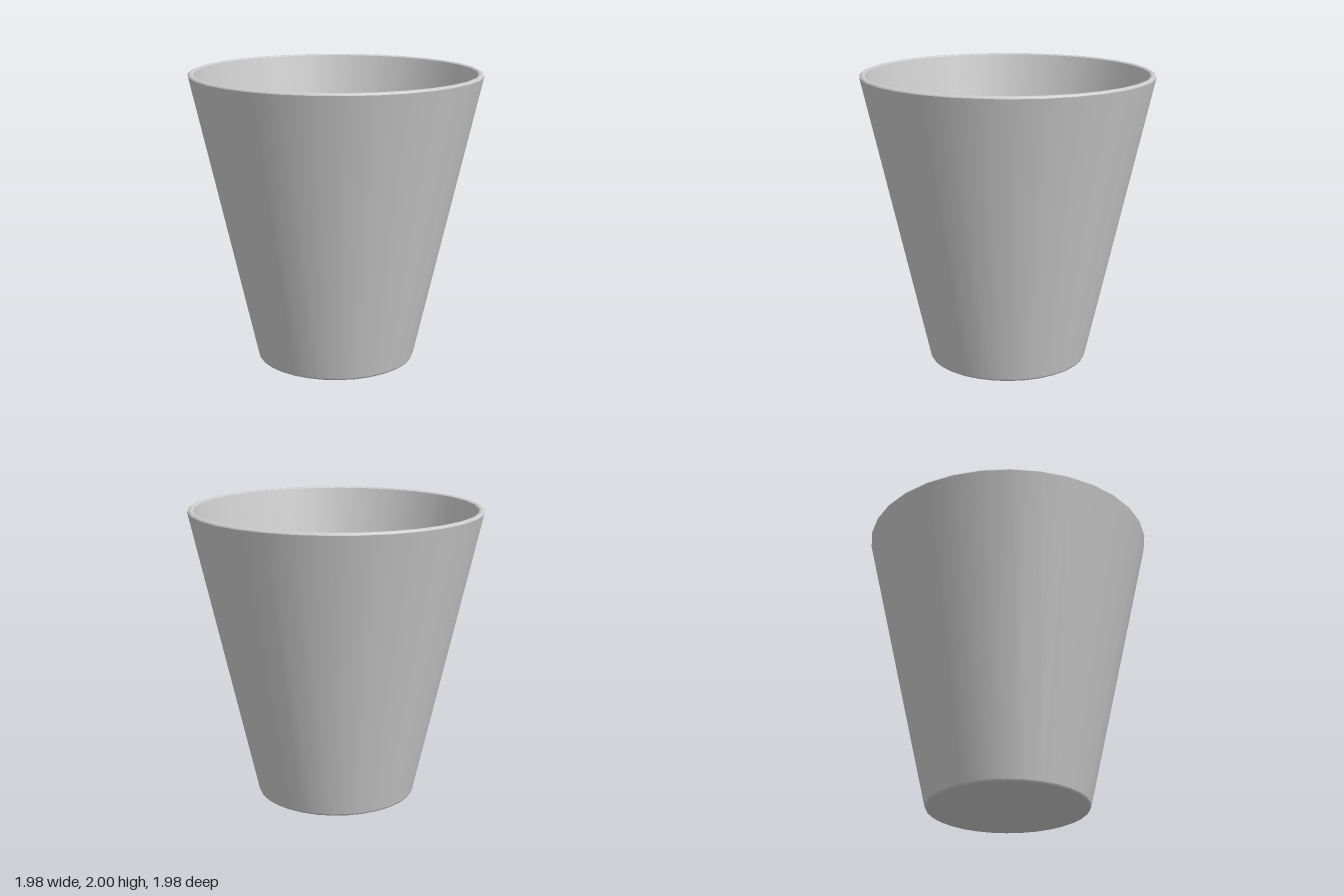
import * as THREE from 'three';

const SIDES = 32;

export function createModel() {
  const group = new THREE.Group();
  group.name = 'cup';
  const material = new THREE.MeshStandardMaterial({ color: 0xcccccc });

  // Each section is its own lathe, so the edges between sections stay sharp.
  const addSection = (name, profile) => {
    const points = profile.map(([r, y]) => new THREE.Vector2(r, y));
    const mesh = new THREE.Mesh(new THREE.LatheGeometry(points, SIDES), material);
    mesh.name = name;
    group.add(mesh);
  };

  // Profiles run from the underside centre, up the outside and down the inside.
  addSection('underside', [[0, 0], [0.535, 0]]);
  addSection('baseEdge', [[0.535, 0], [0.543, 0.004], [0.548, 0.015]]);
  addSection('outerWall', [[0.548, 0.015], [0.99, 1.985]]);
  addSection('rim', [[0.99, 1.985], [0.988, 1.993], [0.975, 2], [0.962, 2], [0.953, 1.993]]);
  addSection('innerWall', [[0.953, 1.993], [0.52, 0.05]]);
  addSection('floor', [[0.52, 0.05], [0, 0.05]]);

  return group;
}
